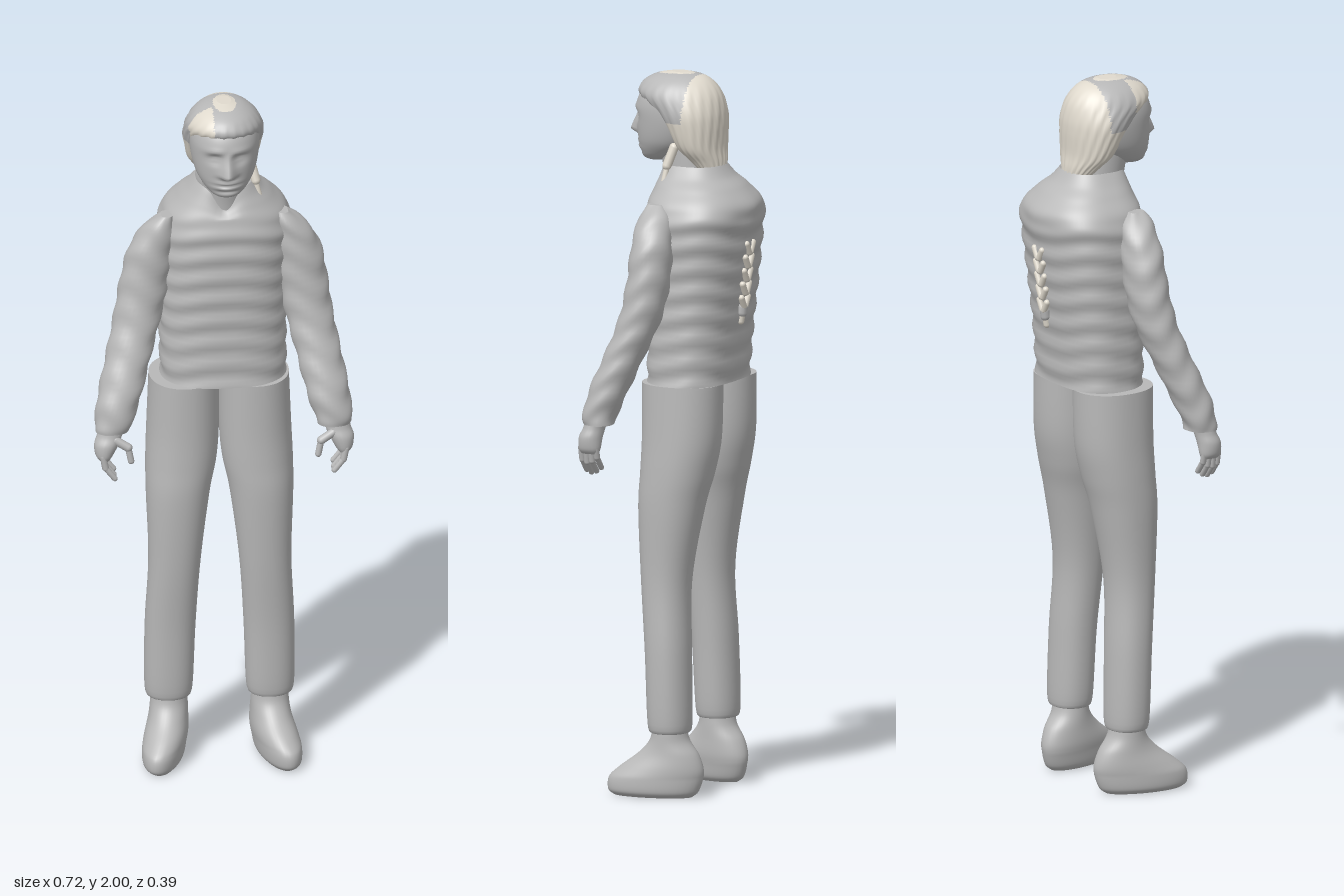
import * as THREE from 'three';

const grey = new THREE.MeshStandardMaterial({ color: 0xb8b8b8 });
grey.name = 'plainGrey';
const beige = new THREE.MeshStandardMaterial({ color: 0xe0dace });
beige.name = 'paleHair';

const gauss = (d, s) => Math.exp(-(d * d) / (2 * s * s));
const clamp = THREE.MathUtils.clamp;

// Smooth interpolation through a list of rows
function sample(rows, t) {
  const i = Math.min(Math.floor(t), rows.length - 2), f = t - i;
  const at = k => rows[clamp(k, 0, rows.length - 1)];
  return rows[i].map((b, k) => {
    const a = at(i - 1)[k], c = at(i + 1)[k], d = at(i + 2)[k];
    return b + 0.5 * f * (c - a + f * (2 * a - 5 * b + 4 * c - d + f * (3 * (b - c) + d - a)));
  });
}

// Capped loft through rows [y, xMin, xMax, zMin, zMax], listed upwards.
// deform moves each vertex; pick(x, y, z) true puts a face in the second material.
function loft(rows, { segs = 32, steps = 6, power = 2, deform, pick, capDrop = 0 } = {}) {
  const pos = [], first = [], second = [];
  const n = (rows.length - 1) * steps;
  const push = p => { pos.push(p.x, p.y, p.z); return pos.length / 3 - 1; };
  const point = (r, a) => {
    const round = v => Math.sign(v) * Math.abs(v) ** (2 / power);
    const p = new THREE.Vector3(
      (r[1] + r[2]) / 2 + (r[2] - r[1]) / 2 * round(Math.cos(a)), r[0],
      (r[3] + r[4]) / 2 + (r[4] - r[3]) / 2 * round(Math.sin(a)));
    if (deform) deform(p, a);
    return p;
  };
  const face = (a, b, c) => {
    const mid = k => (pos[a * 3 + k] + pos[b * 3 + k] + pos[c * 3 + k]) / 3;
    (pick && pick(mid(0), mid(1), mid(2)) ? second : first).push(a, b, c);
  };
  const ring = t => {
    const r = sample(rows, t), start = pos.length / 3;
    for (let j = 0; j < segs; j++) push(point(r, j / segs * Math.PI * 2));
    return start;
  };
  for (let i = 0; i <= n; i++) ring(i / steps);
  for (let i = 0; i < n; i++) for (let j = 0; j < segs; j++) {
    const k = (j + 1) % segs, a = i * segs, b = a + segs;
    face(a + j, b + j, a + k);
    face(a + k, b + j, b + k);
  }
  for (const top of [false, true]) {
    const r = rows[top ? rows.length - 1 : 0], s = ring(top ? rows.length - 1 : 0);
    const c = push(new THREE.Vector3((r[1] + r[2]) / 2, r[0] - (top ? capDrop : 0), (r[3] + r[4]) / 2));
    for (let j = 0; j < segs; j++) {
      const k = (j + 1) % segs;
      if (top) face(c, s + k, s + j); else face(c, s + j, s + k);
    }
  }
  const g = new THREE.BufferGeometry();
  g.setAttribute('position', new THREE.Float32BufferAttribute(pos, 3));
  g.setIndex([...first, ...second]);
  g.addGroup(0, first.length, 0);
  g.addGroup(first.length, second.length, 1);
  g.computeVertexNormals();
  return g;
}

export function createModel() {
  const model = new THREE.Group();
  const add = (name, geometry, material = grey, parent = model) => {
    const m = new THREE.Mesh(geometry, material);
    m.name = name;
    parent.add(m);
    return m;
  };
  const capsule = (name, a, b, r, material = grey) => {
    const A = new THREE.Vector3(...a), B = new THREE.Vector3(...b), d = B.clone().sub(A);
    const m = add(name, new THREE.CapsuleGeometry(r, d.length(), 5, 10), material);
    m.position.copy(A).add(B).multiplyScalar(0.5);
    m.quaternion.setFromUnitVectors(new THREE.Vector3(0, 1, 0), d.normalize());
  };
  const mirror = (rows, s) => rows.map(([y, a, b, z0, z1]) => s > 0 ? [y, a, b, z0, z1] : [y, -b, -a, z0, z1]);

  // Padded vest with soft horizontal quilting and a notched collar
  add('vest', loft([
    [1.15, -0.16, 0.185, -0.135, 0.1], [1.3, -0.163, 0.185, -0.148, 0.1],
    [1.45, -0.165, 0.19, -0.167, 0.105], [1.58, -0.165, 0.2, -0.182, 0.108],
    [1.64, -0.155, 0.192, -0.187, 0.103], [1.69, -0.115, 0.15, -0.15, 0.088],
    [1.72, -0.088, 0.118, -0.115, 0.08], [1.75, -0.065, 0.095, -0.092, 0.075],
  ], {
    segs: 64, steps: 10, power: 2.5, capDrop: 0.06,
    deform: (p, a) => {
      const quilt = 0.0035 * Math.sin(p.y * 95 + 1.2 * Math.sin(a * 3)) * clamp((1.68 - p.y) * 12, 0, 1);
      p.x += Math.cos(a) * quilt;
      p.z += Math.sin(a) * quilt;
      if (p.z < 0) p.z -= 0.008 * gauss(p.x - 0.02, 0.03) * gauss(p.y - 1.62, 0.08);
      if (p.z > 0) p.y -= 0.065 * gauss(p.x - 0.01, 0.025) * clamp((p.y - 1.66) / 0.09, 0, 1);
    },
  }));

  add('neck', loft([
    [1.62, -0.055, 0.08, -0.07, 0.075], [1.7, -0.048, 0.07, -0.06, 0.08], [1.8, -0.05, 0.07, -0.05, 0.1],
  ]));

  // Head, with the face shaped by soft bumps
  add('head', loft([
    [1.75, -0.012, 0.032, 0.09, 0.135], [1.757, -0.03, 0.05, 0.06, 0.148],
    [1.775, -0.05, 0.07, 0.02, 0.156], [1.81, -0.072, 0.092, -0.03, 0.16],
    [1.86, -0.084, 0.104, -0.065, 0.163], [1.91, -0.086, 0.106, -0.075, 0.164],
    [1.95, -0.075, 0.095, -0.065, 0.145], [1.98, -0.045, 0.065, -0.035, 0.105], [1.99, 0, 0.02, 0.02, 0.06],
  ], {
    segs: 96, steps: 8, power: 2.1,
    deform: p => {
      if (p.z < 0.08) return;
      const x = p.x - 0.01, ax = Math.abs(x);
      const ridge = p.y > 1.828 ? clamp((1.895 - p.y) / 0.065, 0, 1) : gauss(p.y - 1.828, 0.007);
      p.z += 0.033 * ridge * gauss(x, 0.009 + 0.005 * ridge);
      p.z -= 0.014 * gauss(ax - 0.034, 0.015) * gauss(p.y - 1.875, 0.011);
      p.z += 0.006 * gauss(ax - 0.034, 0.011) * gauss(p.y - 1.872, 0.005);
      p.z += 0.005 * gauss(ax - 0.035, 0.02) * gauss(p.y - 1.897, 0.007);
      p.z += 0.008 * gauss(x, 0.02) * (gauss(p.y - 1.802, 0.005) + gauss(p.y - 1.787, 0.005));
      p.z -= 0.006 * gauss(x, 0.025) * (gauss(p.y - 1.795, 0.003) + gauss(p.y - 1.774, 0.005));
    },
  }));

  // Swept-back hair: pale at the back and crown, grey band across the front
  add('hair', loft([
    [1.72, -0.02, 0.05, -0.095, -0.045], [1.76, -0.055, 0.075, -0.094, -0.005],
    [1.8, -0.083, 0.103, -0.09, 0.035], [1.86, -0.097, 0.117, -0.092, 0.075],
    [1.9, -0.1, 0.12, -0.09, 0.11], [1.94, -0.093, 0.113, -0.08, 0.156],
    [1.97, -0.074, 0.094, -0.06, 0.146], [1.99, -0.045, 0.065, -0.032, 0.112], [2, -0.01, 0.03, 0.01, 0.065],
  ], {
    segs: 72, steps: 8,
    deform: (p, a) => {
      const strand = 0.0018 * Math.sin(a * 22 + p.y * 40) * clamp((1.98 - p.y) * 20, 0, 1);
      p.x += Math.cos(a) * strand;
      p.z += Math.sin(a) * strand;
    },
    pick: (x, y, z) => z < -0.018 || y < 1.87 || (z > 0.07 && x < -0.025)
      || ((x - 0.01) / 0.032) ** 2 + ((z - 0.05) / 0.052) ** 2 < 1,
  }), [grey, beige]);

  // Loose lock beside the neck and plait down the back
  capsule('sideLock', [0.085, 1.8, 0.02], [0.098, 1.75, 0.035], 0.013, beige);
  capsule('sideLockTip', [0.098, 1.745, 0.035], [0.108, 1.705, 0.04], 0.008, beige);
  for (let i = 0; i < 5; i++) for (const s of [-1, 1]) {
    const y = 1.54 - i * 0.038, z = -0.181 + i * 0.004;
    capsule('plaitStrand', [0.02 + s * 0.018, y, z], [0.02 + s * 0.004, y - 0.025, z], 0.009, beige);
  }
  capsule('plaitTie', [0.02, 1.36, -0.16], [0.02, 1.345, -0.158], 0.014);
  capsule('plaitTip', [0.02, 1.34, -0.156], [0.02, 1.32, -0.153], 0.01, beige);

  for (const s of [-1, 1]) {
    const side = s > 0 ? 'left' : 'right';

    // Sleeve, with slight creases
    add(side + 'Sleeve', loft(mirror([
      [1.055, 0.258, 0.354, 0.092, 0.178], [1.08, 0.25, 0.355, 0.087, 0.18],
      [1.15, 0.225, 0.345, 0.06, 0.167], [1.25, 0.195, 0.32, 0.02, 0.13],
      [1.35, 0.165, 0.296, -0.018, 0.097], [1.45, 0.142, 0.277, -0.035, 0.081],
      [1.55, 0.128, 0.252, -0.036, 0.075], [1.62, 0.124, 0.208, -0.022, 0.068],
      [1.655, 0.13, 0.165, 0.005, 0.055],
    ], s), {
      deform: (p, a) => {
        if (s > 0) p.x += 0.024 * clamp((p.y - 1.1) / 0.45, 0, 1);
        const crease = 0.0025 * Math.sin(p.y * 75 + 2 * Math.sin(a * 2));
        p.x += Math.cos(a) * crease;
        p.z += Math.sin(a) * crease;
      },
    }));

    // Hand with curled fingers
    add(side + 'Palm', loft(mirror([
      [0.975, 0.315, 0.345, 0.125, 0.178], [0.99, 0.305, 0.355, 0.12, 0.184],
      [1.02, 0.29, 0.358, 0.118, 0.184], [1.045, 0.28, 0.35, 0.115, 0.175], [1.07, 0.28, 0.345, 0.11, 0.17],
    ], s), { segs: 20 }));
    for (let i = 0; i < 4; i++) {
      const z = 0.13 + i * 0.015, drop = [0.015, 0.004, 0, 0.006][i];
      capsule(side + 'Finger', [s * 0.335, 0.99, z], [s * 0.328, 0.95 + drop, z], 0.009);
      capsule(side + 'Fingertip', [s * 0.328, 0.95 + drop, z], [s * 0.303, 0.918 + drop, z], 0.008);
    }
    capsule(side + 'Thumb', [s * 0.3, 1.035, 0.165], [s * 0.266, 1.015, 0.172], 0.012);
    capsule(side + 'ThumbTip', [s * 0.266, 1.015, 0.172], [s * 0.258, 0.975, 0.174], 0.009);

    // Trouser leg
    add(side + 'TrouserLeg', loft(mirror([
      [0.18, 0.088, 0.19, -0.045, 0.05], [0.205, 0.074, 0.206, -0.056, 0.062],
      [0.4, 0.066, 0.206, -0.052, 0.072], [0.6, 0.053, 0.197, -0.047, 0.09],
      [0.8, 0.028, 0.203, -0.08, 0.102], [0.9, 0.008, 0.203, -0.105, 0.1],
      [1, 0, 0.199, -0.123, 0.098], [1.15, 0, 0.193, -0.127, 0.1],
    ], s), { segs: 40, power: 2.15 }));

    // Rounded shoe, toe turned outwards
    add(side + 'Shoe', loft(mirror([
      [0, 0.11, 0.195, -0.06, 0.155], [0.015, 0.098, 0.21, -0.078, 0.17],
      [0.05, 0.092, 0.212, -0.09, 0.168], [0.08, 0.088, 0.208, -0.092, 0.14],
      [0.12, 0.088, 0.198, -0.078, 0.09], [0.16, 0.088, 0.192, -0.05, 0.058], [0.21, 0.09, 0.188, -0.04, 0.05],
    ], s), { segs: 36, deform: p => { p.x += s * 0.2 * (p.z - 0.03) * clamp((0.18 - p.y) * 8, 0, 1); } }));
  }
  return model;
}
